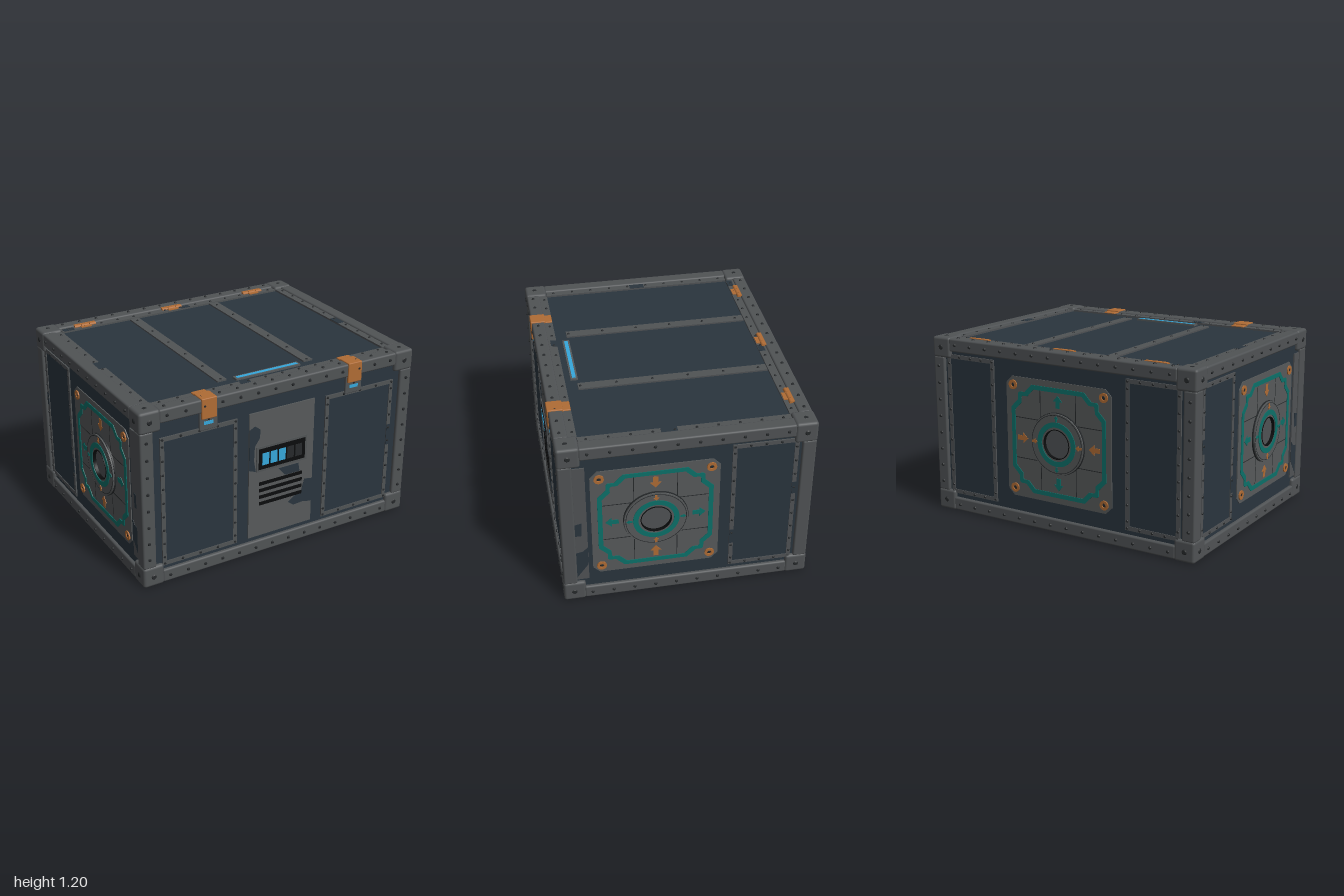
import * as THREE from 'three';
import { mergeGeometries, toCreasedNormals } from 'three/addons/utils/BufferGeometryUtils.js';
import { RoundedBoxGeometry } from 'three/addons/geometries/RoundedBoxGeometry.js';

const material = (name, color) => {
  const m = new THREE.MeshStandardMaterial({ color });
  m.name = name;
  return m;
};
const M = {
  body: material('navy body', 0x2a353e),
  trim: material('trim grey', 0x505355),
  plate: material('plate grey', 0x575a5b),
  dark: material('dark rivet', 0x26292b),
  black: material('black', 0x0b0c0d),
  orange: material('orange', 0xb06c35),
  teal: material('teal', 0x0c716a),
  blue: material('light blue', 0x36a8dc),
};

function add(parent, name, geometry, mat, x = 0, y = 0, z = 0) {
  const mesh = new THREE.Mesh(geometry, mat);
  mesh.name = name;
  mesh.position.set(x, y, z);
  parent.add(mesh);
  return mesh;
}
const box = (parent, name, mat, w, h, d, x, y, z) => add(parent, name, new THREE.BoxGeometry(w, h, d), mat, x, y, z);
const soft = (parent, name, mat, w, h, d, x, y, z, r = 0.012) =>
  add(parent, name, new RoundedBoxGeometry(w, h, d, 2, r), mat, x, y, z);

// flat plate cut from an outline, optionally with one hole
function cut(parent, name, mat, points, z, depth, hole) {
  const shape = new THREE.Shape(points.map(p => new THREE.Vector2(...p)));
  if (hole) shape.holes.push(new THREE.Path(hole.map(p => new THREE.Vector2(...p))));
  return add(parent, name, new THREE.ExtrudeGeometry(shape, { depth, bevelEnabled: false }), mat, 0, 0, z);
}
const rect = (x0, y0, x1, y1) => [[x0, y0], [x1, y0], [x1, y1], [x0, y1]];

// evenly spaced points along a line, ends included
const row = (x0, y0, x1, y1, n) => Array.from({ length: n }, (_, i) => {
  const t = i / (n - 1);
  return [x0 + (x1 - x0) * t, y0 + (y1 - y0) * t];
});
function rivets(parent, points, z, r = 0.011, h = 0.008) {
  const parts = points.map(([x, y]) =>
    new THREE.CylinderGeometry(r * 0.7, r, h, 8).rotateX(Math.PI / 2).translate(x, y, z + h / 2));
  add(parent, 'rivets', mergeGeometries(parts), M.dark);
}

// ring with a rectangular section, facing +z
function ring(parent, name, mat, r0, r1, z, h) {
  const profile = [[r1, 0], [r1, h], [r0, h], [r0, 0]].map(p => new THREE.Vector2(...p));
  const g = toCreasedNormals(new THREE.LatheGeometry(profile, 48), 0.6);
  return add(parent, name, g.rotateX(Math.PI / 2), mat, 0, 0, z);
}

// inset panel with a riveted frame
function framedPanel(parent, x0, y0, x1, y1) {
  const t = 0.027, e = t / 2;
  cut(parent, 'panelFrame', M.trim, rect(x0, y0, x1, y1), 0, 0.009, rect(x0 + t, y0 + t, x1 - t, y1 - t));
  box(parent, 'panel', M.body, x1 - x0 - 2 * t, y1 - y0 - 2 * t, 0.004, (x0 + x1) / 2, (y0 + y1) / 2, 0.002);
  rivets(parent, [
    ...row(x0 + e, y0 + 0.06, x0 + e, y1 - 0.06, 9), ...row(x1 - e, y0 + 0.06, x1 - e, y1 - 0.06, 9),
    ...row(x0 + e, y0 + e, x1 - e, y0 + e, 5), ...row(x0 + e, y1 - e, x1 - e, y1 - e, 5),
  ], 0.009, 0.009, 0.006);
}

// arrow on the ray at the given angle, s is its half length and d its middle's distance
function arrow(parent, mat, angle, d, s, z, outward) {
  const k = outward ? -s : s;
  const pts = [[0, -1], [0.85, -0.05], [0.38, -0.05], [0.38, 1], [-0.38, 1], [-0.38, -0.05], [-0.85, -0.05]];
  cut(parent, 'arrow', mat, pts.map(([x, y]) => [x * k, d + y * k]), z, 0.003).rotation.z = angle;
}

// round hatch on a square plate
function hatch(parent, x, turn) {
  const g = new THREE.Group();
  g.name = 'hatch';
  g.position.set(x, 0.6, 0);
  g.rotation.z = turn;
  parent.add(g);
  const c = 0.355, a = 0.4, top = 0.006;
  cut(g, 'hatchPlate', M.plate, [[-c, -a], [c, -a], [a, -c], [a, c], [c, a], [-c, a], [-a, c], [-a, -c]], 0, top);
  // stepped outline
  const q = [[0.36, 0.2], [0.305, 0.255], [0.305, 0.295], [0.295, 0.305], [0.255, 0.305], [0.2, 0.36]];
  const flip = (sx, sy) => q.map(([u, v]) => [u * sx, v * sy]);
  const outline = [...q, ...flip(-1, 1).reverse(), ...flip(-1, -1), ...flip(1, -1).reverse()];
  cut(g, 'outline', M.teal, outline, top, 0.004, outline.map(([u, v]) => [u * 0.92, v * 0.92]));
  // seams and corner bolts
  for (const s of [-1, 1]) for (const t of [-1, 1]) {
    box(g, 'seam', M.dark, 0.005, 0.18, 0.002, s * 0.135, t * 0.24, top);
    box(g, 'seam', M.dark, 0.18, 0.005, 0.002, s * 0.24, t * 0.135, top);
    const bolt = ring(g, 'bolt', M.orange, 0.014, 0.031, top, 0.008);
    bolt.position.set(s * 0.345, t * 0.345, top);
    rivets(g, [[s * 0.345, t * 0.345]], top, 0.014, 0.005);
  }
  // ring with a recessed centre
  ring(g, 'hatchRing', M.plate, 0.095, 0.2, top, 0.019);
  ring(g, 'ringEdge', M.dark, 0.188, 0.192, top, 0.02);
  ring(g, 'ringRim', M.dark, 0.2, 0.204, top, 0.01);
  ring(g, 'tealRing', M.teal, 0.112, 0.145, top, 0.023);
  ring(g, 'boreWall', M.black, 0.093, 0.098, top, 0.023);
  add(g, 'boreFloor', new THREE.CircleGeometry(0.094, 40), M.trim, 0, 0, top + 0.002);
  for (const angle of [0, Math.PI]) {
    arrow(g, M.orange, angle, 0.275, 0.041, top, false);
    arrow(g, M.orange, angle, 0.168, 0.021, top + 0.02, false);
    arrow(g, M.teal, angle + Math.PI / 2, 0.272, 0.041, top, true);
    arrow(g, M.teal, angle + Math.PI / 2, 0.168, 0.018, top + 0.02, true);
  }
}

export function createModel() {
  const root = new THREE.Group();
  root.name = 'storageCrate';
  box(root, 'body', M.body, 1.94, 1.135, 1.54, 0, 0.6025, 0);

  // edge rails and corner blocks
  const w = 0.088;
  for (const a of [-1, 1]) for (const b of [-1, 1]) {
    soft(root, 'longRail', M.trim, 1.72, w, w, 0, 0.6 + a * 0.548, b * 0.747);
    soft(root, 'sideRail', M.trim, w, w, 1.32, a * 0.947, 0.6 + b * 0.548, 0);
    soft(root, 'cornerPost', M.trim, w, 0.93, w, a * 0.947, 0.6, b * 0.747);
    for (const c of [-1, 1])
      soft(root, 'cornerBlock', M.trim, 0.142, 0.14, 0.142, a * 0.923, 0.6 + c * 0.527, b * 0.723, 0.018);
  }

  // one group per face: x to the right, z outward from the body
  const face = (name, x, y, z, rx, ry) => {
    const g = new THREE.Group();
    g.name = name;
    g.position.set(x, y, z);
    g.rotation.set(rx, ry, 0);
    root.add(g);
    return g;
  };
  const front = face('frontFace', 0, 0, 0.77, 0, 0);
  const back = face('backFace', 0, 0, -0.77, 0, Math.PI);
  const right = face('rightFace', 0.97, 0, 0, 0, Math.PI / 2);
  const left = face('leftFace', -0.97, 0, 0, 0, -Math.PI / 2);
  const lid = face('lidFace', 0, 1.17, 0, -Math.PI / 2, 0);

  // rail and corner rivets on the visible faces
  for (const [g, hw, cy, hh, n] of [[front, 1, 0.6, 0.6, 14], [back, 1, 0.6, 0.6, 14],
    [right, 0.8, 0.6, 0.6, 10], [left, 0.8, 0.6, 0.6, 10], [lid, 1, 0, 0.8, 14]]) {
    for (const s of [-1, 1]) {
      const y = cy + s * (hh - 0.05), x = s * (hw - 0.05);
      rivets(g, row(-hw + 0.19, y, hw - 0.19, y, n), 0.021);
      if (n === 14 && g !== lid) rivets(g, row(x, cy - hh + 0.2, x, cy + hh - 0.2, 8), 0.021);
      rivets(g, [-1, 1].map(t => [s * (hw - 0.074), cy + t * (hh - 0.071)]), 0.024, 0.018, 0.005);
    }
  }

  // front: side panels, control panel and latches
  for (const s of [-1, 1]) {
    framedPanel(front, s < 0 ? -0.855 : 0.325, 0.122, s < 0 ? -0.325 : 0.855, 1.003);
    const x = s * 0.53;
    soft(front, 'latchBase', M.trim, 0.125, 0.13, 0.016, x, 1.053, 0.008, 0.005);
    box(front, 'latchLight', M.blue, 0.065, 0.022, 0.004, x, 1.034, 0.016);
    rivets(front, [[x, 1.056]], 0.015, 0.007);
    soft(front, 'latchFront', M.orange, 0.105, 0.135, 0.02, x, 1.131, 0.018, 0.006);
    soft(front, 'latchTop', M.orange, 0.105, 0.02, 0.1, x, 1.189, -0.022, 0.006);
    soft(front, 'latchTongue', M.orange, 0.095, 0.03, 0.06, x, 1.175, -0.09, 0.006);
  }
  box(front, 'controlPanel', M.plate, 0.48, 0.885, 0.008, 0, 0.568, 0.004);
  box(front, 'displayFrame', M.trim, 0.375, 0.175, 0.008, 0, 0.683, 0.01);
  box(front, 'display', M.black, 0.345, 0.145, 0.006, 0, 0.683, 0.013);
  for (let i = 0; i < 5; i++)
    box(front, 'chargeBar', i < 3 ? M.blue : M.dark, 0.05, 0.084, 0.004, -0.123 + i * 0.0615, 0.681, 0.016);
  for (let i = 0; i < 4; i++) box(front, 'ventSlot', M.black, 0.322, 0.023, 0.004, -0.002, 0.505 - i * 0.048, 0.01);

  // worn paint patches
  const worn = (g, pts, z) => cut(g, 'wornPaint', M.body, pts, z, 0.002);
  worn(front, [[-0.24, 0.62], [-0.24, 0.9], [-0.2, 0.92], [-0.16, 0.89], [-0.165, 0.83], [-0.2, 0.78], [-0.205, 0.68], [-0.19, 0.6]], 0.008);
  worn(front, [[-0.02, 0.58], [0.13, 0.58], [0.14, 0.52], [0.03, 0.52]], 0.008);
  worn(front, [[0.06, 0.31], [0.1, 0.28], [0.17, 0.285], [0.24, 0.27], [0.24, 0.44], [0.18, 0.45], [0.16, 0.37], [0.1, 0.34]], 0.008);
  worn(front, rect(0.828, 0.53, 0.856, 0.68), 0.009);

  // sides: hatch towards the front, panel towards the back
  for (const [g, s] of [[right, 1], [left, -1]]) {
    hatch(g, -0.2 * s, 0);
    framedPanel(g, s > 0 ? 0.272 : -0.685, 0.125, s > 0 ? 0.685 : -0.272, 1.085);
    box(g, 'edgeStrip', M.trim, 0.085, 0.88, 0.009, -0.67 * s, 0.6, 0.0045);
    const patch = (pts, z) => worn(g, pts.map(([x, y]) => [x * s, y]), z);
    patch([[-0.71, 0.52], [-0.665, 0.52], [-0.66, 0.62], [-0.71, 0.61]], 0.009);
    patch([[-0.71, 0.17], [-0.63, 0.28], [-0.628, 0.42], [-0.66, 0.39], [-0.71, 0.38]], 0.009);
    patch(rect(0.658, 0.66, 0.685, 0.75), 0.009);
    patch(rect(0.272, 0.31, 0.299, 0.42), 0.009);
  }

  // back: hatch between two panels
  hatch(back, 0, Math.PI / 2);
  framedPanel(back, -0.885, 0.125, -0.5, 1.085);
  framedPanel(back, 0.5, 0.125, 0.885, 1.085);

  // lid: inner trim, ribs, light bar and hinges
  for (const s of [-1, 1]) {
    box(lid, 'lidTrim', M.trim, 1.7, 0.055, 0.012, 0, s * 0.677, 0.006);
    box(lid, 'lidTrim', M.trim, 0.05, 1.3, 0.012, s * 0.88, 0, 0.006);
    rivets(lid, row(-0.8, s * 0.672, 0.8, s * 0.672, 14), 0.012, 0.009, 0.006);
    rivets(lid, row(s * 0.885, -0.6, s * 0.885, 0.6, 10), 0.012, 0.009, 0.006);
    box(lid, 'lidRib', M.trim, 0.067, 1.22, 0.01, s * 0.317, 0.035, 0.005);
    rivets(lid, row(s * 0.317, -0.56, s * 0.317, 0.59, 6), 0.01, 0.009, 0.006);
    worn(lid, rect(s * 0.88 - 0.025, -0.1 + s * -0.05, s * 0.88 + 0.025, 0.0 + s * -0.05), 0.012);
  }
  worn(lid, [[-0.25, -0.69], [-0.18, -0.69], [-0.17, -0.65], [-0.24, -0.65]], 0.012);
  worn(lid, rect(-0.84, 0.65, -0.76, 0.69), 0.012);
  worn(lid, rect(0.06, 0.65, 0.13, 0.69), 0.012);
  box(lid, 'lightBarFrame', M.plate, 0.472, 0.046, 0.012, 0, -0.588, 0.006);
  box(lid, 'lightBar', M.blue, 0.445, 0.024, 0.004, 0, -0.588, 0.012);
  for (const x of [-0.67, 0, 0.67]) {
    for (const [dx, len] of [[-0.055, 0.045], [0, 0.055], [0.055, 0.045]])
      add(lid, 'hingeKnuckle', new THREE.CylinderGeometry(0.013, 0.013, len, 12).rotateZ(Math.PI / 2), M.orange, x + dx, 0.69, 0.013);
    box(lid, 'hingeLeaf', M.orange, 0.075, 0.03, 0.008, x, 0.668, 0.014);
    box(lid, 'hingeLeaf', M.orange, 0.155, 0.016, 0.006, x, 0.703, 0.022);
  }
  return root;
}
